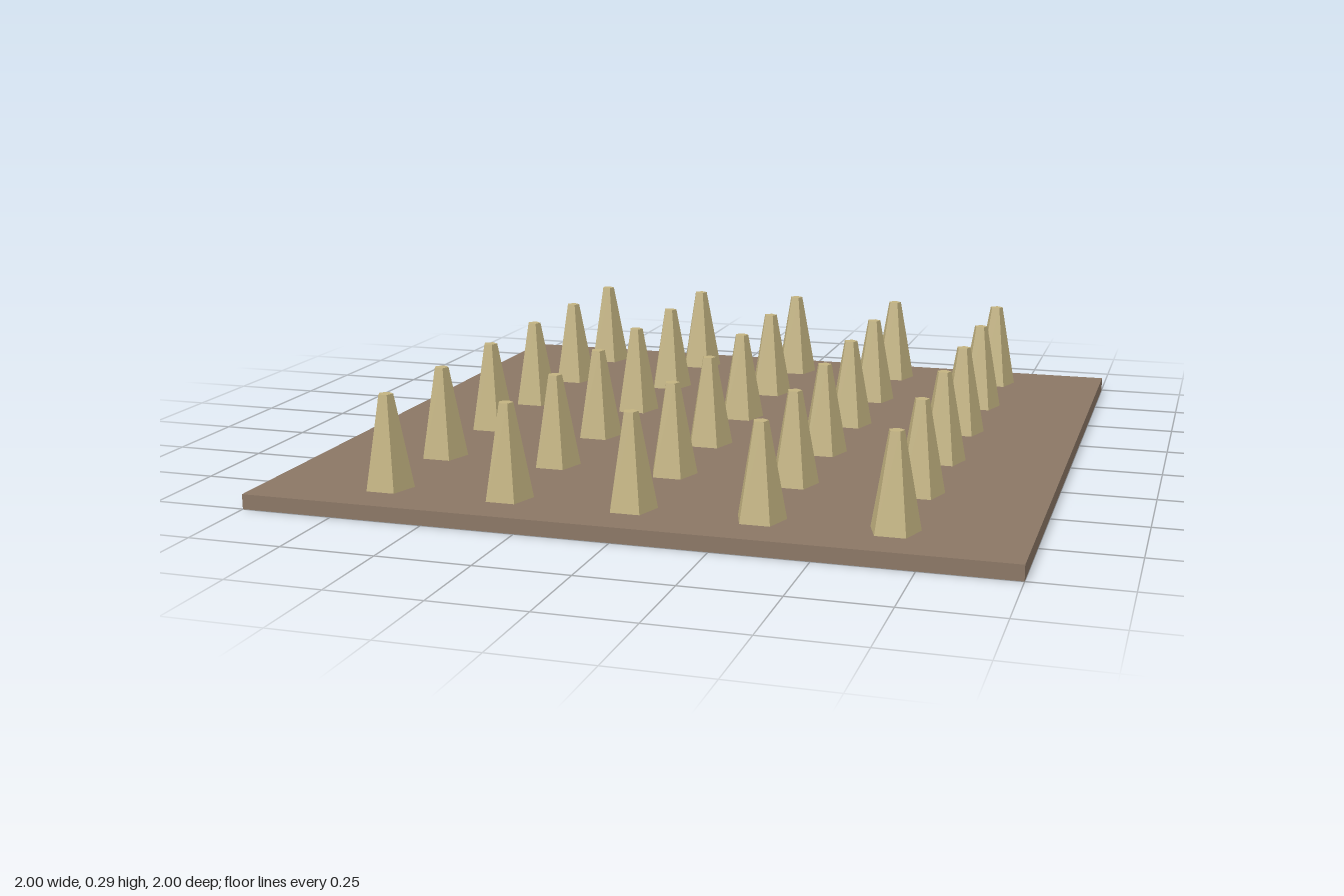
import * as THREE from 'three';

const PLATE = 0.04, HEIGHT = 0.25, PITCH = 1 / 3;

export function createModel() {
  const model = new THREE.Group();
  model.name = 'spikeTrap';

  // Thin square plate
  const plate = new THREE.Mesh(
    new THREE.BoxGeometry(2, PLATE, 2),
    new THREE.MeshStandardMaterial({ color: 0x8b7765 })
  );
  plate.name = 'basePlate';
  plate.position.y = PLATE / 2;
  model.add(plate);

  // Five-sided blunt spike, one corner pointing back
  const spikeGeometry = new THREE.CylinderGeometry(0.02, 0.066, HEIGHT, 5);
  spikeGeometry.rotateY(Math.PI);
  const spikeMaterial = new THREE.MeshStandardMaterial({ color: 0xc2b280, flatShading: true });

  // Grid of spikes: five columns by six rows
  const spikes = new THREE.Group();
  spikes.name = 'spikes';
  for (let row = 0; row < 6; row++) {
    for (let col = 0; col < 5; col++) {
      const spike = new THREE.Mesh(spikeGeometry, spikeMaterial);
      spike.name = 'spike';
      spike.position.set((col - 2) * PITCH, PLATE + HEIGHT / 2, (row - 2.5) * PITCH);
      spikes.add(spike);
    }
  }
  model.add(spikes);
  return model;
}
